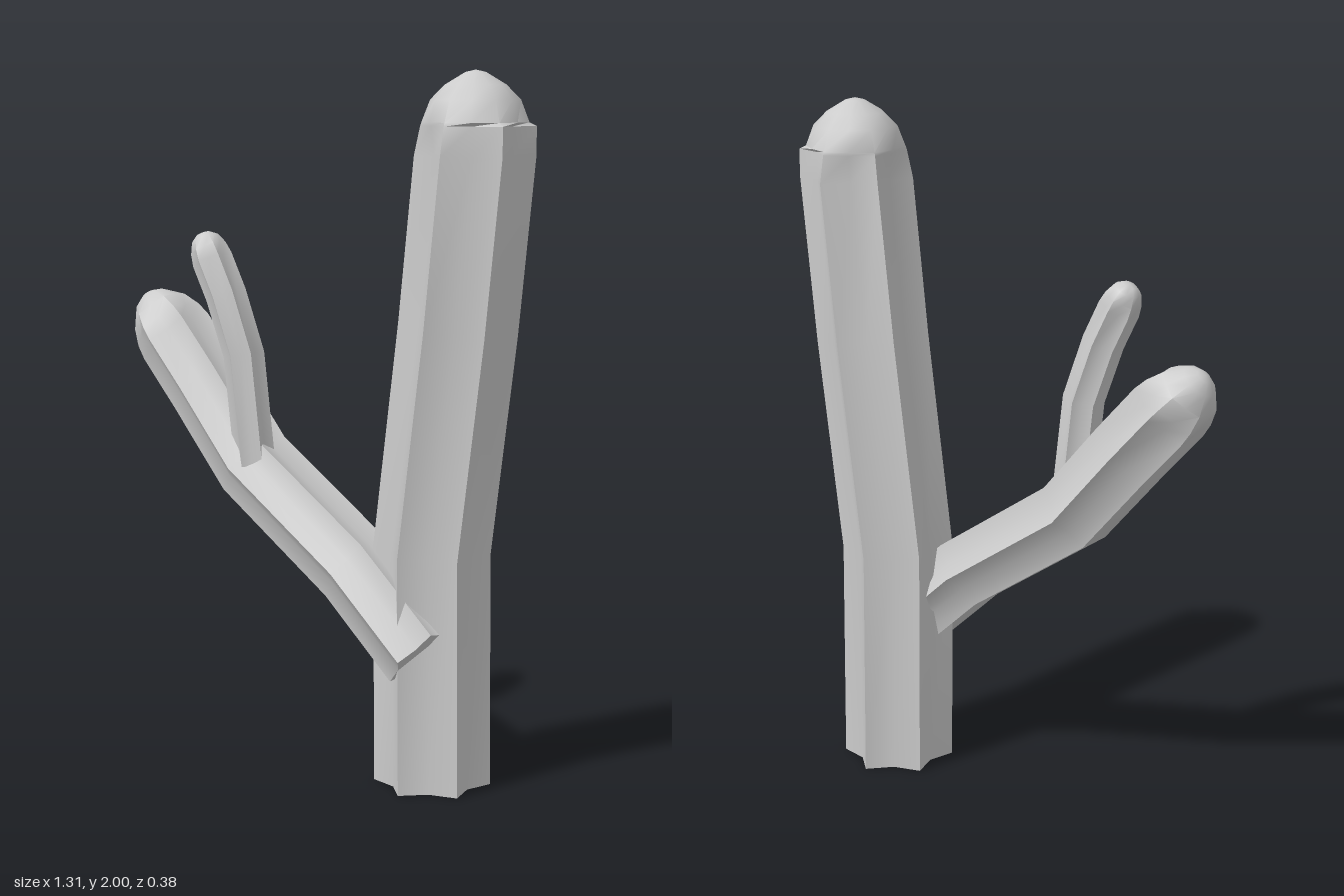
import * as THREE from 'three';
import { toCreasedNormals } from 'three/addons/utils/BufferGeometryUtils.js';

const SIDES = 12;      // six ridges alternating with six valleys
const VALLEY = 0.73;   // valley depth relative to ridge radius

// Sweep a six-ridged star along a path of [x, y, z] points, closed by a rounded dome.
// dome rows: [distance past the last point, radius ratio, valley ratio]
function ribbedStem(path, radius, dome, lip = false) {
  const pts = path.map((p) => new THREE.Vector3(...p));
  const dirs = pts.slice(1).map((p, i) => p.clone().sub(pts[i]).setZ(0).normalize());
  const rings = pts.map((center, i) => {
    const before = dirs[Math.max(i - 1, 0)];
    const after = dirs[Math.min(i, dirs.length - 1)];
    const dir = before.clone().add(after).normalize();
    return { center, dir, ratio: 1, valley: VALLEY };
  });

  // dome rings, continuing along the end of the path
  const end = pts[pts.length - 1];
  const endDir = lip ? new THREE.Vector3(0, 1, 0) : dirs[dirs.length - 1];
  if (lip) {
    rings[0].dir = endDir; // flat on the ground
    rings[rings.length - 1].dir = endDir;
  }
  dome.forEach(([d, ratio, valley, overhang]) => rings.push({
    center: end.clone().addScaledVector(endDir, d), dir: endDir, ratio, valley, overhang,
  }));

  const pos = [];
  const index = [];
  const Z = new THREE.Vector3(0, 0, 1);
  rings.forEach(({ center, dir, ratio, valley, overhang }) => {
    const N = new THREE.Vector3(dir.y, -dir.x, 0);
    for (let k = 0; k < SIDES; k++) {
      const a = (k / SIDES) * Math.PI * 2;
      const ledge = overhang && Math.cos(a) > 0.3; // ribs run higher on one side
      const r = radius * (ledge ? 1 : ratio) * (k % 2 ? 1 : ledge ? VALLEY : valley);
      const p = center.clone().addScaledVector(N, r * Math.cos(a)).addScaledVector(Z, r * Math.sin(a));
      pos.push(p.x, p.y, p.z);
    }
  });
  for (let i = 0; i < rings.length - 1; i++) {
    for (let k = 0; k < SIDES; k++) {
      const a = i * SIDES + k;
      const b = i * SIDES + ((k + 1) % SIDES);
      index.push(a, a + SIDES, b, b, a + SIDES, b + SIDES);
    }
  }

  // end caps
  const last = rings.length - 1;
  const base = pos.length / 3;
  const tip = rings[last].center.clone().addScaledVector(endDir, radius * 0.04);
  pos.push(...pts[0].toArray(), ...tip.toArray());
  for (let k = 0; k < SIDES; k++) {
    const n = (k + 1) % SIDES;
    index.push(base, k, n);
    index.push(base + 1, last * SIDES + n, last * SIDES + k);
  }

  const geo = new THREE.BufferGeometry();
  geo.setAttribute('position', new THREE.Float32BufferAttribute(pos, 3));
  geo.setIndex(index);
  return toCreasedNormals(geo, THREE.MathUtils.degToRad(45));
}

export function createModel() {
  const group = new THREE.Group();
  const material = new THREE.MeshStandardMaterial({ color: 0xcccccc });
  const add = (name, geometry) => {
    const mesh = new THREE.Mesh(geometry, material);
    mesh.name = name;
    group.add(mesh);
  };

  // Trunk, bending slightly, with its ribs ending in a ledge under the dome
  add('trunk', ribbedStem(
    [[0.385, 0, -0.025], [0.378, 0.67, -0.025], [0.46, 1.3, -0.025], [0.51, 1.77, -0.025]],
    0.165,
    [[0.08, 0.9, 0.88, true], [0.09, 0.88, 0.93], [0.15, 0.74, 0.97], [0.19, 0.5, 1], [0.223, 0.17, 1]],
    true,
  ));

  // Large side arm
  add('arm', ribbedStem(
    [[0.415, 0.395, 0.068], [0.175, 0.61, 0.06], [-0.21, 0.865, 0.042], [-0.4, 1.08, 0.031], [-0.525, 1.215, 0.025]],
    0.118,
    [[0.045, 0.94, 0.85], [0.095, 0.78, 0.92], [0.14, 0.46, 1], [0.16, 0.2, 1]],
  ));

  // Small branch growing from the arm
  add('branch', ribbedStem(
    [[-0.175, 0.87, 0.08], [-0.205, 1.19, 0.092], [-0.26, 1.36, 0.105], [-0.307, 1.46, 0.11]],
    0.06,
    [[0.035, 0.9, 0.9], [0.065, 0.68, 0.97], [0.08, 0.35, 1]],
  ));

  return group;
}
